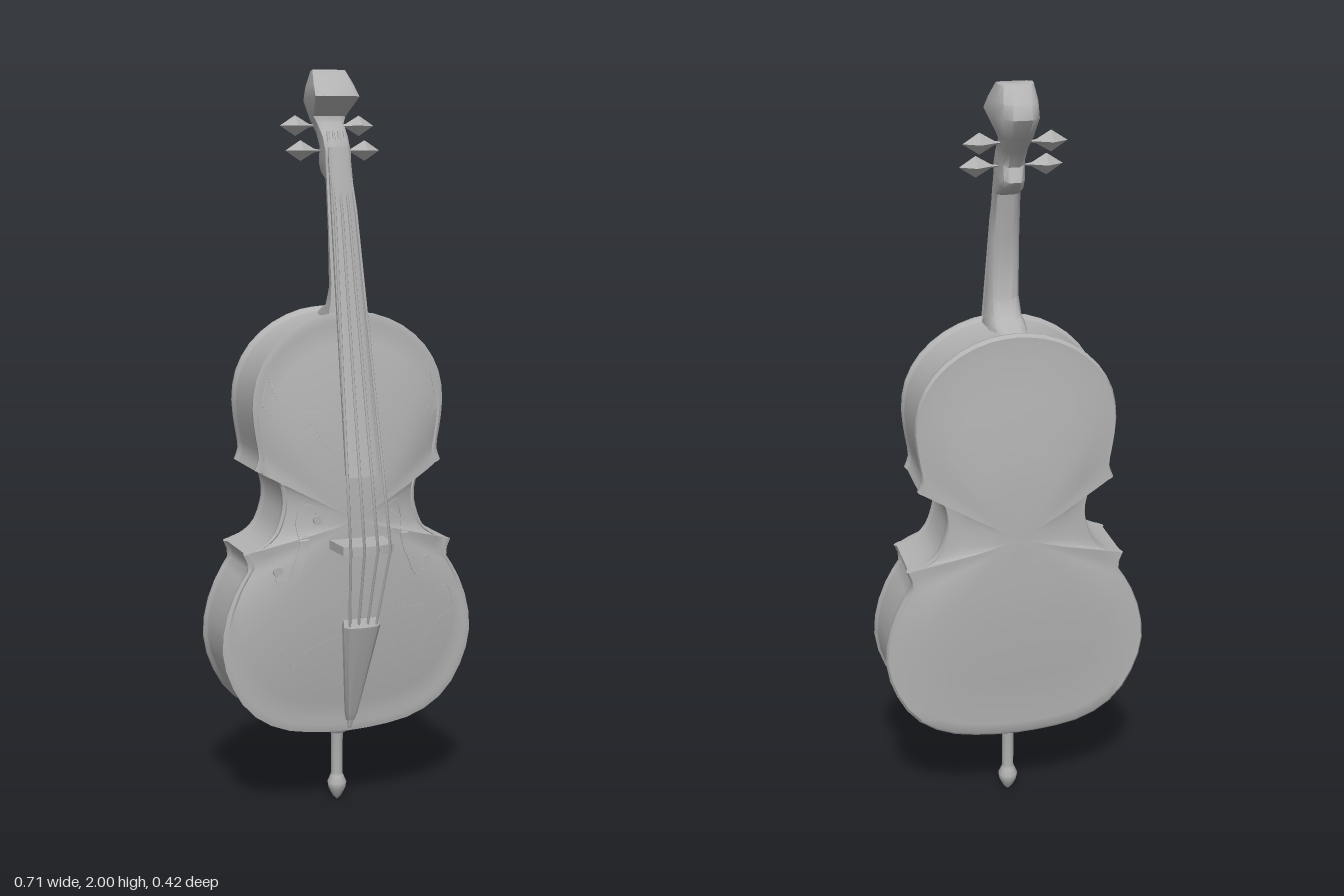
import * as THREE from 'three';
import { toCreasedNormals } from 'three/addons/utils/BufferGeometryUtils.js';

const grey = new THREE.MeshStandardMaterial({ color: 0xb2b2b2 });
grey.name = 'plain grey';
const greyThin = grey;
greyThin.side = THREE.DoubleSide;

const V = (x, y, z) => new THREE.Vector3(x, y, z);

function add(group, name, geometry) {
  const mesh = new THREE.Mesh(geometry, grey);
  mesh.name = name;
  group.add(mesh);
  return mesh;
}

// Skin closed rings of points, with a fan cap at both ends
function loft(rings, crease = 0.7) {
  const n = rings[0].length, pos = [], idx = [];
  rings.forEach(r => r.forEach(p => pos.push(p.x, p.y, p.z)));
  for (let i = 0; i < rings.length - 1; i++) {
    for (let j = 0; j < n; j++) {
      const k = (j + 1) % n, a = i * n + j, b = i * n + k;
      idx.push(a, b, b + n, a, b + n, a + n);
    }
  }
  [0, rings.length - 1].forEach(i => {
    const c = V(0, 0, 0);
    rings[i].forEach(p => c.addScaledVector(p, 1 / n));
    const ci = pos.length / 3;
    pos.push(c.x, c.y, c.z);
    for (let j = 0; j < n; j++) {
      const a = i * n + j, b = i * n + (j + 1) % n;
      idx.push(...(i ? [ci, a, b] : [ci, b, a]));
    }
  });
  const g = new THREE.BufferGeometry();
  g.setAttribute('position', new THREE.Float32BufferAttribute(pos, 3));
  g.setIndex(idx);
  g.computeVertexNormals();
  return toCreasedNormals(g, crease);
}

// Loft along the neck direction: rows of [frontY, frontZ, backY, backZ, halfWidth]
const bar = (rows, section, crease) => loft(rows.map(([fy, fz, by, bz, w]) => {
  const side = section.map(([u, k]) => V(k * w, fy + (by - fy) * u, fz + (bz - fz) * u));
  return [...side, ...side.slice().reverse().map(p => V(-p.x, p.y, p.z))];
}), crease);
const ROUND = [[0, 0.7], [0.1, 1], [0.6, 0.95], [0.88, 0.75], [1, 0.4]];
const SLAB = [[0, 0.35], [0.12, 0.8], [0.4, 1], [1, 0.95]];

// Half outline in three runs, so that the corners between them stay sharp
const RUNS = [
  [[0, 0.232], [0.1, 0.238], [0.2, 0.26], [0.28, 0.312], [0.33, 0.39], [0.355, 0.48], [0.345, 0.57],
    [0.312, 0.655], [0.282, 0.705], [0.295, 0.745]],
  [[0.295, 0.745], [0.25, 0.76], [0.213, 0.79], [0.192, 0.84], [0.186, 0.88], [0.196, 0.93], [0.225, 0.957], [0.262, 0.968]],
  [[0.262, 0.968], [0.251, 1.0], [0.258, 1.05], [0.267, 1.13], [0.255, 1.21], [0.215, 1.28], [0.15, 1.335],
    [0.07, 1.368], [0, 1.376]],
];
const MID = 0.83;
const half = RUNS.flatMap((r, i) => {
  const pts = new THREE.CatmullRomCurve3(r.map(p => V(p[0], p[1], 0))).getPoints(16);
  return i ? pts.slice(1) : pts;
});
const outline = [...half, ...half.slice(1, -1).reverse().map(p => V(-p.x, p.y, 0))];

// Arch of the belly: [scale, z]
const BELLY = [[1, 0.04], [0.965, 0.045], [0.94, 0.043], [0.85, 0.055], [0.6, 0.077], [0.42, 0.088], [0.2, 0.094], [0.02, 0.095]];

// Height of the belly at a point, found on the ray from the middle to the outline
function bellyZ(x, y) {
  const dy = y - MID;
  let s = 0;
  outline.forEach((p, i) => {
    const q = outline[(i + 1) % outline.length];
    const ex = q.x - p.x, ey = q.y - p.y, py = p.y - MID;
    const d = x * ey - dy * ex;
    if (Math.abs(d) < 1e-9) return;
    const t = (p.x * ey - py * ex) / d, u = (p.x * dy - py * x) / d;
    if (t > 0 && u >= 0 && u <= 1) s = Math.max(s, 1 / t);
  });
  for (let i = 1; i < BELLY.length; i++) {
    const [s0, z0] = BELLY[i - 1], [s1, z1] = BELLY[i];
    if (s >= s1) return z0 + (z1 - z0) * Math.min(1, Math.max(0, (s0 - s) / (s0 - s1)));
  }
  return 0.095;
}

// Thin strip lying on the belly, following a path with a width rule
function strip(points, width, lift, side, steps = 28) {
  const curve = new THREE.CatmullRomCurve3(points.map(p => V(p[0] * side, p[1], 0)));
  const rings = [];
  for (let i = 0; i <= steps; i++) {
    const t = i / steps, p = curve.getPoint(t), d = curve.getTangent(t), w = width(t) / 2;
    const at = (k, h) => {
      const x = p.x - d.y * w * k, y = p.y + d.x * w * k;
      return V(x, y, bellyZ(x, y) + h);
    };
    rings.push([at(1, lift), at(-1, lift), at(-1, -0.003), at(1, -0.003)].reverse());
  }
  return loft(rings, 0.4);
}

const tube = (pts, r) => {
  const path = new THREE.CurvePath();
  for (let i = 1; i < pts.length; i++) path.add(new THREE.LineCurve3(pts[i - 1], pts[i]));
  return new THREE.TubeGeometry(path, 2 * (pts.length - 1), r, 6);
};

export function createModel() {
  const model = new THREE.Group();
  model.name = 'cello';

  // Body: back arch, rim, ribs, rim, belly arch
  const profile = [[0.02, -0.198], [0.25, -0.197], [0.42, -0.193], [0.7, -0.176], [0.94, -0.161], [0.985, -0.161], [1, -0.153],
    [0.998, -0.144], [0.983, -0.135], [0.98, -0.12], [0.98, 0.015], [0.985, 0.026], [1, 0.032], ...BELLY];
  add(model, 'body', loft(profile.map(([s, z]) => outline.map(p => V(p.x * s, MID + (p.y - MID) * s, z))), 0.75));

  // Neck, peg box and head in one run
  add(model, 'neckAndHead', bar([
    [1.33, 0.04, 1.35, -0.14, 0.055], [1.37, 0.035, 1.37, -0.11, 0.05], [1.4, 0.03, 1.385, -0.06, 0.045],
    [1.45, 0.023, 1.43, -0.025, 0.042], [1.6, -0.007, 1.59, -0.034, 0.039], [1.72, -0.03, 1.71, -0.058, 0.036],
    [1.765, -0.036, 1.73, -0.115, 0.035], [1.79, -0.033, 1.755, -0.135, 0.035], [1.83, -0.06, 1.79, -0.118, 0.035],
    [1.865, -0.1, 1.83, -0.14, 0.037], [1.88, -0.103, 1.87, -0.182, 0.045], [1.93, -0.03, 1.92, -0.212, 0.061],
    [1.96, -0.062, 1.955, -0.202, 0.056], [2.0, -0.112, 1.995, -0.155, 0.046],
  ], ROUND, 0.8));

  add(model, 'fingerboard', bar([
    [0.955, 0.157, 0.96, 0.132, 0.048], [1.8, -0.028, 1.795, -0.052, 0.03],
  ], SLAB, 0.5));

  add(model, 'tailpiece', bar([
    [0.268, 0.062, 0.262, 0.04, 0.01], [0.29, 0.072, 0.285, 0.045, 0.016],
    [0.55, 0.153, 0.555, 0.118, 0.052], [0.567, 0.145, 0.567, 0.12, 0.05],
  ], SLAB, 0.5));
  add(model, 'tailGut', tube([V(0, 0.28, 0.052), V(0, 0.236, 0.042), V(0, 0.228, -0.03)], 0.008));

  // Bridge standing out from the belly
  const b = new THREE.Shape();
  b.moveTo(-0.077, 0.07);
  b.lineTo(-0.03, 0.07);
  b.quadraticCurveTo(0, 0.115, 0.03, 0.07);
  b.lineTo(0.077, 0.07);
  b.lineTo(0.07, 0.185);
  b.quadraticCurveTo(0, 0.222, -0.07, 0.185);
  const bridge = new THREE.ExtrudeGeometry(b, { depth: 0.024, bevelEnabled: false });
  bridge.rotateX(Math.PI / 2).translate(0, 0.781, 0);
  add(model, 'bridge', bridge);

  // Strings from the nut over the bridge to the tailpiece
  [-1.5, -0.5, 0.5, 1.5].forEach(k => add(model, 'string', tube([
    V(k * 0.015, 1.84, -0.062), V(k * 0.016, 1.8, -0.025), V(k * 0.037, 0.772, 0.207 - Math.abs(k) * 0.004),
    V(k * 0.025, 0.555, 0.145)], 0.004)));

  // Diamond-shaped tuning pegs
  for (const side of [-1, 1]) {
    [[1.855, -0.13], [1.79, -0.087]].forEach(([y, z]) => {
      const peg = new THREE.LatheGeometry(
        [[0, 0.02], [0.005, 0.052], [0.027, 0.09], [0, 0.132]].map(p => new THREE.Vector2(...p)), 4);
      peg.rotateZ(-side * Math.PI / 2).translate(0, y, z);
      add(model, 'tuningPeg', toCreasedNormals(peg, 0.3));
    });

    // Sound holes with round ends
    const holeWidth = t => 0.012 + 0.012 * Math.sin(Math.PI * t);
    add(model, 'soundHole', strip([[0.1, 0.835], [0.105, 0.86], [0.132, 0.864], [0.146, 0.83], [0.142, 0.77],
      [0.163, 0.71], [0.182, 0.672], [0.207, 0.672], [0.214, 0.7]], holeWidth, 0.003, side, 40));
    [[0.102, 0.835], [0.21, 0.7]].forEach(([x, y]) => {
      const end = new THREE.CylinderGeometry(0.014, 0.014, 0.008, 14);
      end.rotateX(Math.PI / 2).translate(side * x, y, bellyZ(x, y));
      add(model, 'soundHoleEnd', end);
    });

    // Fine inlaid lines on the belly
    [
      [[0.3, 0.555], [0.29, 0.6], [0.275, 0.628]],
      [[0.275, 0.628], [0.21, 0.585], [0.14, 0.575], [0.05, 0.6]],
      [[0.3, 0.555], [0.235, 0.515], [0.17, 0.435]],
      [[0.17, 0.435], [0.12, 0.485], [0.05, 0.51]],
      [[0.225, 1.22], [0.24, 1.14], [0.2, 1.105], [0.15, 1.11], [0.11, 1.08]],
      [[0.225, 1.22], [0.2, 1.15], [0.15, 1.125], [0.09, 1.12]],
      [[0.11, 1.08], [0.08, 1.03], [0.045, 1.0]],
    ].forEach(line => add(model, 'inlayLine', strip(line, () => 0.004, 0.001, side, 16)));
  }

  // End pin with collar and pointed foot
  const pin = new THREE.LatheGeometry([[0, 0], [0.012, 0.012], [0.024, 0.035], [0.027, 0.052], [0.018, 0.072], [0.016, 0.08],
    [0.017, 0.195], [0.03, 0.203], [0.034, 0.222], [0.034, 0.245]].map(p => new THREE.Vector2(...p)), 12);
  pin.translate(0, 0, -0.058);
  add(model, 'endPin', pin);

  return model;
}
